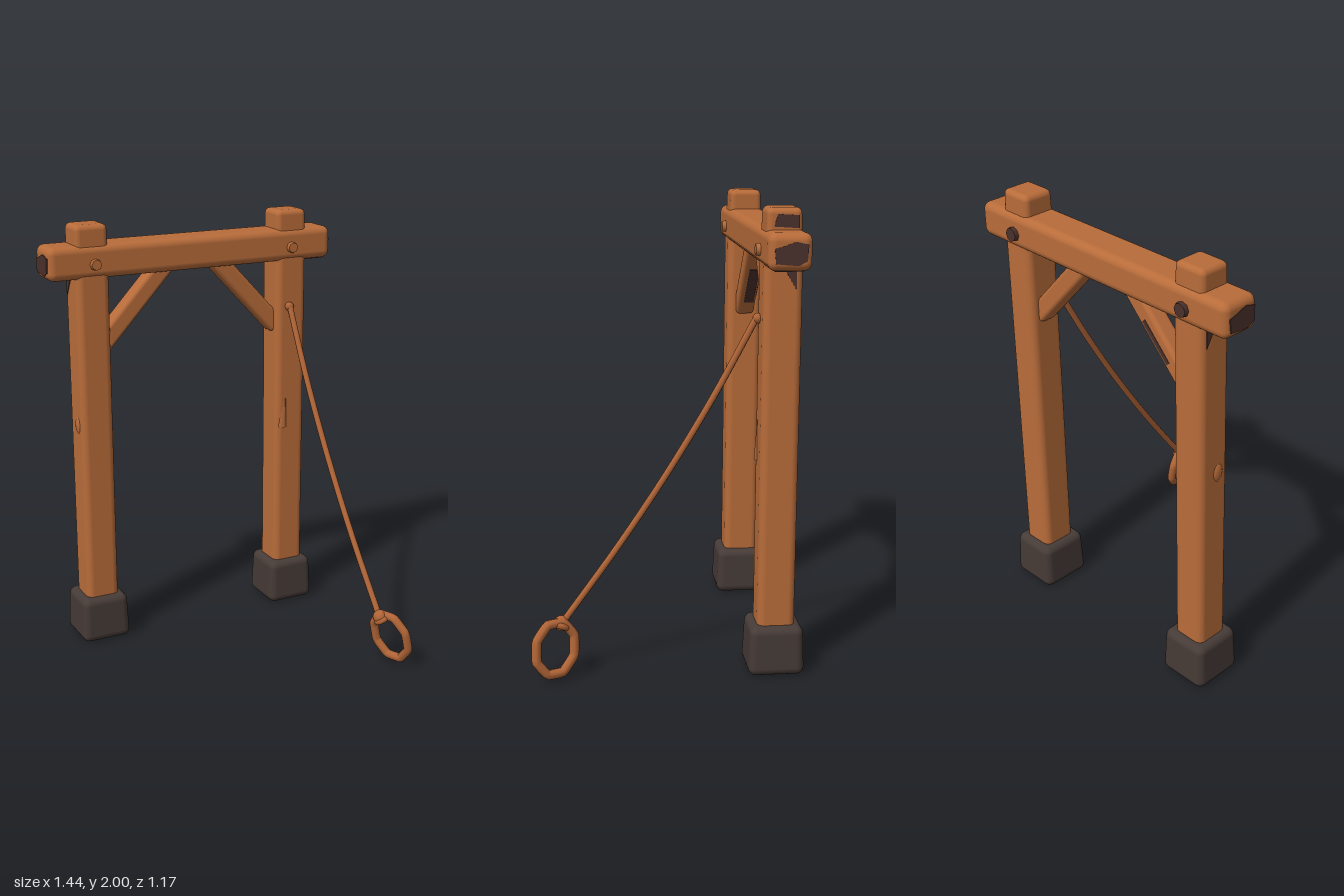
import * as THREE from 'three';
import { RoundedBoxGeometry } from 'three/addons/geometries/RoundedBoxGeometry.js';

const Z = -0.465; // depth of the frame
const V = (x, y, z) => new THREE.Vector3(x, y, z);

export function createModel() {
  const root = new THREE.Group();
  const mat = (name, color) => {
    const m = new THREE.MeshStandardMaterial({ color });
    m.name = name;
    return m;
  };
  const wood = mat('wood', 0xb86c3a);
  const ropeBrown = mat('ropeBrown', 0xb06436);
  const stone = mat('darkStone', 0x463b37);
  const stain = mat('darkStain', 0x4a302b);

  const add = (name, geo, material, x = 0, y = 0, z = 0, parent = root) => {
    const m = new THREE.Mesh(geo, material);
    m.name = name;
    m.position.set(x, y, z);
    parent.add(m);
    return m;
  };

  // Rounded block whose top end is scaled in x and z
  const block = (w, h, d, r, topX = 1, topZ = 1) => {
    const g = new RoundedBoxGeometry(w, h, d, 3, r);
    const p = g.attributes.position;
    for (let i = 0; i < p.count; i++) {
      const t = p.getY(i) / h + 0.5;
      p.setX(i, p.getX(i) * (1 + (topX - 1) * t));
      p.setZ(i, p.getZ(i) * (1 + (topZ - 1) * t));
    }
    return g;
  };

  // Thin plate cut from a polygon of [x, y] points
  const plate = (points) => new THREE.ExtrudeGeometry(
    new THREE.Shape(points.map(([x, y]) => new THREE.Vector2(x, y))),
    { depth: 0.006, bevelEnabled: false });

  // Peg that runs from the middle of the beam out to depth z
  const peg = (name, x, z, r0, r1, material) => {
    const len = Math.abs(z - Z);
    const m = add(name, new THREE.CylinderGeometry(r1, r0, len, 8), material, x, 1.825, (z + Z) / 2);
    m.rotation.x = Math.sign(z - Z) * Math.PI / 2;
  };

  // Posts, feet, pegs and braces on both sides
  for (const s of [-1, 1]) {
    const x = s * 0.508;
    add('post', block(0.158, 1.7, 0.162, 0.032), wood, x, 0.95, Z);
    add('postTop', block(0.158, 0.26, 0.158, 0.025, 0.98, 0.9), wood, x, 1.87, Z);
    add('foot', block(0.24, 0.22, 0.245, 0.035, 0.93, 0.93), stone, x, 0.11, Z);
    peg('frontPeg', x - s * 0.008, -0.36, 0.04, 0.024, wood);
    peg('backPeg', x - s * 0.008, -0.576, 0.044, 0.03, stain);

    const brace = add('brace', block(0.088, 0.5, 0.085, 0.02), wood, s * 0.288, 1.618, Z);
    brace.rotation.z = s * 0.75;
    if (s < 0) {
      add('braceUndersideStain', new THREE.BoxGeometry(0.006, 0.24, 0.045), stain, 0.043, -0.03, -0.008, brace);
      add('braceBackStain', new THREE.BoxGeometry(0.02, 0.2, 0.006), stain, 0.012, -0.03, -0.0415, brace);
    }

    // Weathering on the outer side of the post, just below the beam
    const patch = add('postStain', plate([[-0.005, 1.765], [0.052, 1.67], [0.052, 1.765]]), stain,
      s > 0 ? 0.584 : -0.59, 0, Z);
    patch.rotation.y = Math.PI / 2;
  }

  // Crossbeam, slightly slimmer at its ends
  const beamGeo = new RoundedBoxGeometry(1.435, 0.152, 0.186, 3, 0.035);
  const bp = beamGeo.attributes.position;
  for (let i = 0; i < bp.count; i++) {
    if (Math.abs(bp.getX(i)) > 0.6) bp.setZ(i, bp.getZ(i) * 0.96);
  }
  add('crossbeam', beamGeo, wood, -0.002, 1.835, Z - 0.003);

  // Weathering on the beam ends, overhang and post top
  const endStain = plate([[-0.06, 1.79], [0.03, 1.782], [0.066, 1.8], [0.07, 1.865], [0.02, 1.878], [-0.03, 1.86], [-0.066, 1.85]]);
  add('beamEndStain', endStain, stain, 0.711, 0, Z - 0.003).rotation.y = Math.PI / 2;
  add('beamEndStain', endStain, stain, -0.717, 0, Z - 0.003).rotation.y = -Math.PI / 2;
  add('overhangStain', new THREE.BoxGeometry(0.095, 0.006, 0.115), stain, 0.635, 1.759, Z - 0.003);
  const topStain = plate([[-0.045, 1.925], [0.06, 1.918], [0.058, 1.97], [-0.03, 1.975]]);
  add('postTopStain', topStain, stain, 0.582, 0, Z).rotation.y = Math.PI / 2;

  // Wood knot and raised splinter
  const knot = add('woodKnot', new THREE.SphereGeometry(0.03, 10, 8), wood, -0.581, 1.07, Z + 0.02);
  knot.scale.set(0.5, 1.5, 1);
  const splinter = add('splinter', new THREE.ConeGeometry(0.024, 0.22, 4), wood, 0.474, 1.04, -0.386);
  splinter.scale.z = 0.5;
  splinter.rotation.z = -0.08;

  // Hanging rope
  const path = new THREE.CatmullRomCurve3([
    V(0.49, 1.55, -0.375), V(0.491, 1.22, -0.2), V(0.497, 0.885, 0),
    V(0.506, 0.57, 0.21), V(0.52, 0.24, 0.45),
  ]);
  add('rope', new THREE.TubeGeometry(path, 24, 0.0145, 8), ropeBrown);
  add('upperRopeKnot', new THREE.SphereGeometry(0.022, 10, 8), ropeBrown, 0.49, 1.54, -0.376);

  // Knot above the loop
  add('lowerRopeKnot', new THREE.SphereGeometry(0.034, 10, 8), ropeBrown, 0.522, 0.238, 0.455);
  const wrap = add('knotWrap', new THREE.TorusGeometry(0.028, 0.014, 8, 12), ropeBrown, 0.53, 0.228, 0.46);
  wrap.rotation.set(1.2, 0.4, 0);

  // Rope loop: a leaning, slightly angular ring
  const out = V(0.38, 0, 0.92), up = V(0.2, -1, 0.02);
  const ring = [];
  for (let i = 0; i < 8; i++) {
    const a = ((i + 0.5) / 8) * Math.PI * 2;
    ring.push(V(0.567, 0.141, 0.483)
      .addScaledVector(out, Math.cos(a) * 0.094)
      .addScaledVector(up, Math.sin(a) * 0.112));
  }
  const loop = new THREE.CatmullRomCurve3(ring, true, 'catmullrom', 0.15);
  add('ropeLoop', new THREE.TubeGeometry(loop, 48, 0.021, 8, true), ropeBrown);

  return root;
}
